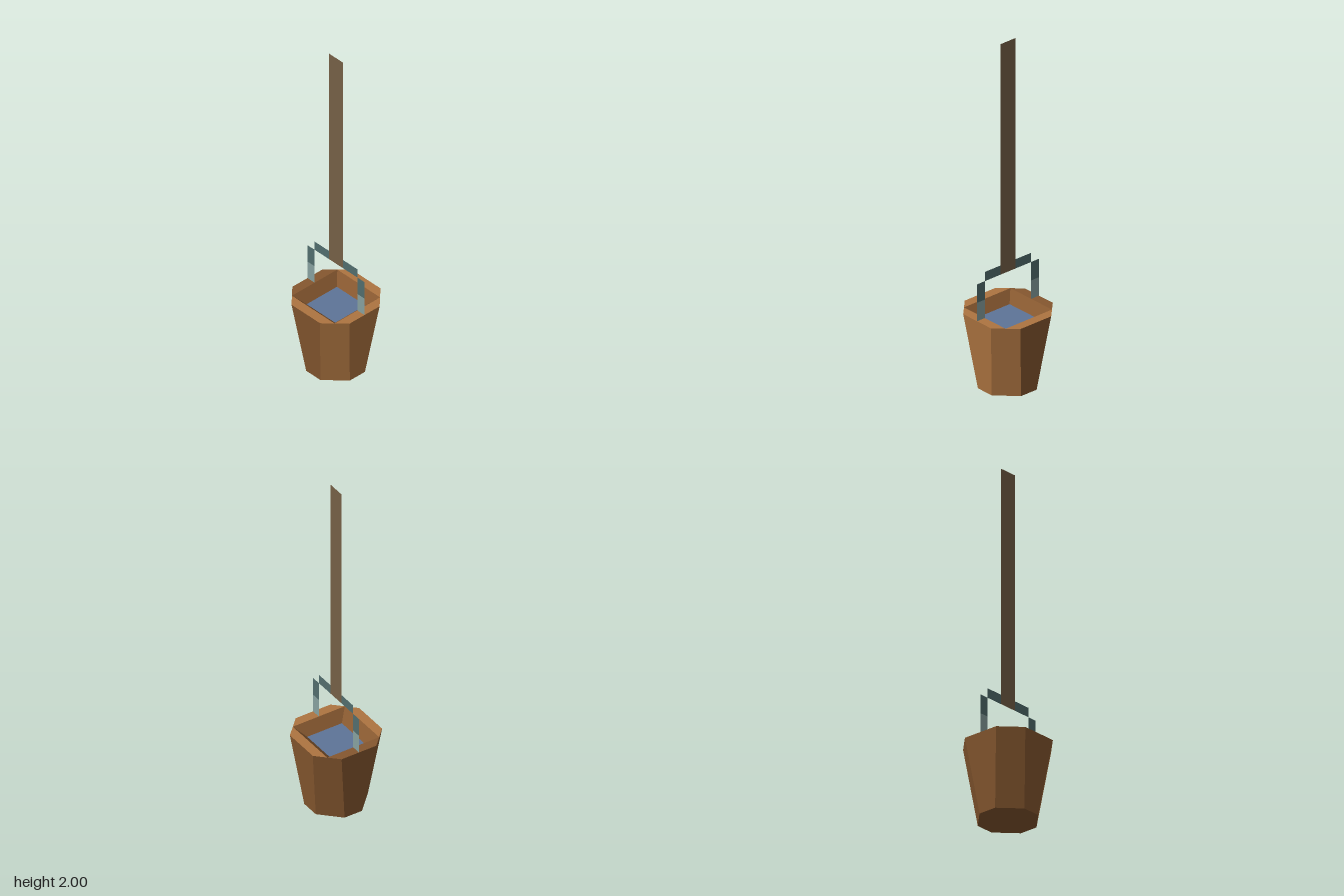
import * as THREE from 'three';

const U = 2 / 37; // grid unit: the whole model is 37 units tall

function makeMaterial(name, color, side = THREE.FrontSide) {
  const m = new THREE.MeshStandardMaterial({ color, side });
  m.name = name;
  return m;
}

// Mesh of flat convex polygons, corners counter-clockwise from outside
function polygons(name, material, faces) {
  const pos = [];
  for (const f of faces) {
    for (let i = 1; i < f.length - 1; i++) pos.push(...f[0], ...f[i], ...f[i + 1]);
  }
  const g = new THREE.BufferGeometry();
  g.setAttribute('position', new THREE.Float32BufferAttribute(pos.map((v) => v * U), 3));
  g.computeVertexNormals();
  const mesh = new THREE.Mesh(g, material);
  mesh.name = name;
  return mesh;
}

// Octagon and square rings, starting at the front left of the picture plane
const octagon = (a, b, y) =>
  [[-a, b], [a, b], [b, a], [b, -a], [a, -b], [-a, -b], [-b, -a], [-b, a]].map(([x, z]) => [x, y, z]);
const square = (a, y) => [[-a, a], [a, a], [a, -a], [-a, -a]].map(([x, z]) => [x, y, z]);

// Flat upright sheet at z = 0, visible from both sides
function sheet(name, material, x0, x1, y0, y1) {
  const mesh = new THREE.Mesh(new THREE.PlaneGeometry((x1 - x0) * U, (y1 - y0) * U), material);
  mesh.position.set(((x0 + x1) / 2) * U, ((y0 + y1) / 2) * U, 0);
  mesh.name = name;
  return mesh;
}

export function createModel() {
  const lightWood = makeMaterial('light wood', 0xad7440);
  const darkWood = makeMaterial('dark wood', 0x85572f);
  const waterBlue = makeMaterial('water blue', 0x5e7498);
  const lightMetal = makeMaterial('light metal', 0x86a09e, THREE.DoubleSide);
  const darkMetal = makeMaterial('dark metal', 0x516d6d, THREE.DoubleSide);
  const ropeBrown = makeMaterial('rope brown', 0x756046, THREE.DoubleSide);

  const base = octagon(1, 3, 0);
  const top = octagon(2, 4, 8);
  const mouth = square(3, 8);
  const pool = square(2, 7);

  // Tapered staves: the three on the +x side are lighter
  const staves = base.map((p, i) => {
    const j = (i + 1) % 8;
    return [p, base[j], top[j], top[i]];
  });
  // Flat rim around the square mouth, and its sloping inner walls
  const rim = mouth.map((p, i) => [top[2 * i], top[2 * i + 1], mouth[(i + 1) % 4], p]);
  const walls = mouth.map((p, i) => [p, mouth[(i + 1) % 4], pool[(i + 1) % 4], pool[i]]);

  const bucket = new THREE.Group();
  bucket.name = 'bucket';
  bucket.add(
    polygons('lightStaves', lightWood, staves.slice(1, 4)),
    polygons('darkStaves', darkWood, [staves[0], ...staves.slice(4)]),
    polygons('lightRim', lightWood, rim.slice(0, 3)),
    polygons('darkRim', darkWood, [rim[3]]),
    polygons('innerWalls', darkWood, walls),
    polygons('bottom', darkWood, [[...base].reverse()]),
    polygons('water', waterBlue, [pool]),
  );

  // Handle: two-tone posts and a crossbar broken by the rope
  const handle = new THREE.Group();
  handle.name = 'handle';
  for (const s of [-1, 1]) {
    const x0 = s > 0 ? 3 : -4;
    const b0 = s > 0 ? 1 : -3;
    handle.add(
      sheet('lowerPost', lightMetal, x0, x0 + 1, 8, 10),
      sheet('upperPost', darkMetal, x0, x0 + 1, 10, 12),
      sheet('crossbar', darkMetal, b0, b0 + 2, 12, 13),
    );
  }

  const model = new THREE.Group();
  model.name = 'hangingBucket';
  model.add(bucket, handle, sheet('rope', ropeBrown, -1, 1, 12, 37));
  return model;
}
